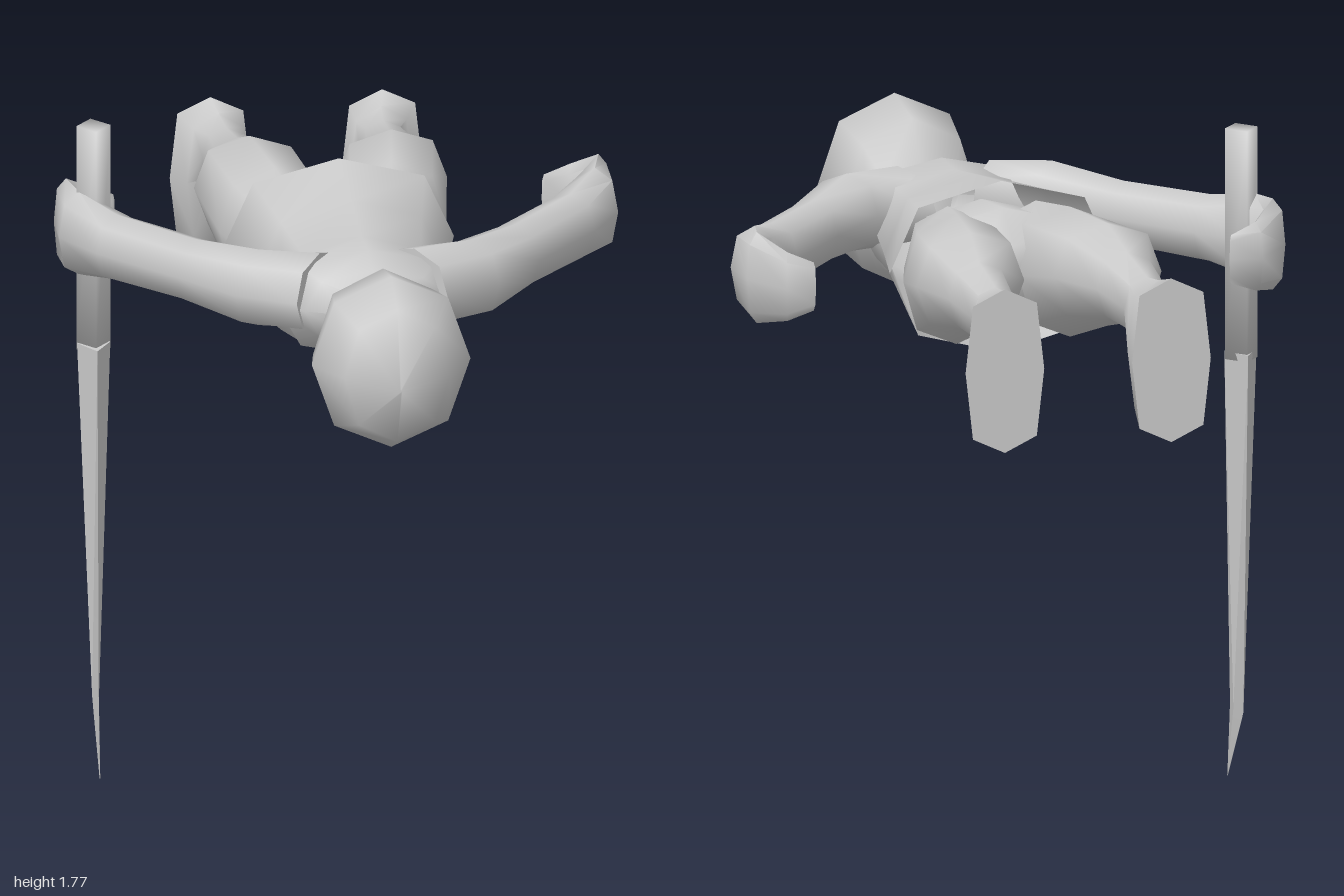
import * as THREE from 'three';
import { toCreasedNormals } from 'three/addons/utils/BufferGeometryUtils.js';

const material = new THREE.MeshStandardMaterial({ color: 0xcccccc, side: THREE.DoubleSide });

// Eight-sided ring spanning an outer to an inner point in plan, with a bottom and a top height.
// A power below 1 makes the ring squarer.
function ring([xo, zo], [xi, zi], y0, y1, power = 0.85, n = 8) {
  const soft = (v) => Math.sign(v) * Math.abs(v) ** power;
  return Array.from({ length: n }, (_, i) => {
    const a = (i / n) * Math.PI * 2;
    const c = soft(Math.cos(a)) / 2, s = soft(Math.sin(a)) / 2;
    return [(xo + xi) / 2 + (xo - xi) * c, (y0 + y1) / 2 + (y1 - y0) * s, (zo + zi) / 2 + (zo - zi) * c];
  });
}

// Ring square to the z axis.
const ringZ = (z, x0, x1, y0, y1, power) => ring([x1, z], [x0, z], y0, y1, power);

// Four-cornered ring lying flat, for the knife.
const diamond = (x, y, z0, z1, w, ridge = (z0 + z1) / 2) =>
  [[x + w, y, ridge], [x, y, z0], [x - w, y, ridge], [x, y, z1]];

// Skin over a row of rings, with optional end caps.
function loft(name, rings, { capStart = true, capEnd = true, crease = 1.1 } = {}) {
  const n = rings[0].length, last = (rings.length - 1) * n;
  const points = rings.flat(), index = [];
  for (let r = 0; r < rings.length - 1; r++) {
    for (let i = 0; i < n; i++) {
      const a = r * n + i, b = r * n + ((i + 1) % n);
      index.push(a, b, b + n, a, b + n, a + n);
    }
  }
  const cap = (start, flip) => {
    for (let i = 1; i < n - 1; i++) {
      index.push(start, ...(flip ? [start + i + 1, start + i] : [start + i, start + i + 1]));
    }
  };
  if (capStart) cap(0, true);
  if (capEnd) cap(last, false);
  const geometry = new THREE.BufferGeometry();
  geometry.setAttribute('position', new THREE.Float32BufferAttribute(points.flat(), 3));
  geometry.setIndex(index);
  const mesh = new THREE.Mesh(toCreasedNormals(geometry, crease), material);
  mesh.name = name;
  return mesh;
}

// Mirror a ring to the other side while keeping its winding.
const mirrorRing = (points) => {
  const n = points.length;
  return points.map((_, i) => {
    const [x, y, z] = points[(n - i) % n];
    return [-x, y, z];
  });
};

export function createModel() {
  const model = new THREE.Group();

  // Head: rings from chin to crown
  model.add(loft('head', [
    [0.495, 0.07, 1.25, 1.40], [0.57, 0.14, 1.225, 1.56], [0.65, 0.185, 1.195, 1.655],
    [0.81, 0.21, 1.215, 1.688], [0.93, 0.14, 1.27, 1.635], [1.0, 0.004, 1.43, 1.44],
  ].map(([z, w, y0, y1]) => ringZ(z, -w, w, y0, y1, 0.95))));

  // Shirt with an open hem, running up into the neck
  model.add(loft('torso', [
    [-0.19, 0.305, 1.21, 1.67], [0.05, 0.25, 1.235, 1.635], [0.25, 0.21, 1.275, 1.605],
    [0.37, 0.24, 1.315, 1.61], [0.45, 0.18, 1.37, 1.58], [0.5, 0.085, 1.40, 1.555],
    [0.6, 0.085, 1.39, 1.55],
  ].map(([z, w, y0, y1]) => ringZ(z, -w, w, y0, y1)), { capStart: false }));

  // Hips inside the shirt
  model.add(loft('hips', [
    [-0.31, 0.12, 1.36, 1.52], [-0.2, 0.25, 1.26, 1.6], [0, 0.2, 1.28, 1.58],
  ].map(([z, w, y0, y1]) => ringZ(z, -w, w, y0, y1))));

  // Leg: rings from the sole up to the hip [z, inner x, outer x, bottom y, top y, power]
  const leg = [
    [-1.0, 0.12, 0.335, 1.13, 1.57, 0.6], [-0.925, 0.13, 0.30, 1.17, 1.55, 0.7],
    [-0.84, 0.145, 0.27, 1.38, 1.54], [-0.67, 0.12, 0.285, 1.38, 1.57],
    [-0.54, 0.04, 0.335, 1.345, 1.62], [-0.3, 0.01, 0.3, 1.265, 1.615],
    [-0.1, 0, 0.24, 1.27, 1.59],
  ].map((s) => ringZ(...s));

  // Arm: rings from the curled fingertips up to the shoulder
  const arm = [
    [[0.565, -0.39], [0.575, -0.38], 1.40, 1.53], [[0.65, -0.41], [0.63, -0.345], 1.375, 1.56],
    [[0.735, -0.33], [0.675, -0.30], 1.36, 1.605], [[0.74, -0.19], [0.625, -0.25], 1.37, 1.60],
    [[0.66, -0.05], [0.54, -0.14], 1.395, 1.575], [[0.48, 0.18], [0.37, 0.065], 1.405, 1.575],
    [[0.35, 0.36], [0.21, 0.24], 1.39, 1.60], [[0.2, 0.45], [0.05, 0.25], 1.39, 1.6],
  ].map((s) => ring(...s));

  for (const [side, place] of [['left', (r) => r], ['right', mirrorRing]]) {
    model.add(loft(`${side}Leg`, leg.map(place)));
    model.add(loft(`${side}Arm`, arm.map(place)));
  }

  // Knife held upright in the right hand, point down
  const knife = new THREE.Group();
  knife.name = 'knife';
  const x = -0.645;
  knife.add(loft('handle', [
    diamond(x, 1.16, -0.28, -0.17, 0.045), diamond(x, 1.78, -0.28, -0.17, 0.045),
  ], { crease: 1.8 }).translateX(0));
  knife.add(loft('blade', [
    diamond(x, 0.01, -0.1, -0.095, 0.001), diamond(x, 0.21, -0.245, -0.12, 0.009),
    diamond(x, 1.18, -0.29, -0.145, 0.044),
  ], { crease: 0.2 }));
  // The diamond corners run clockwise from above only when z0 is the far edge
  model.add(knife);

  return model;
}
